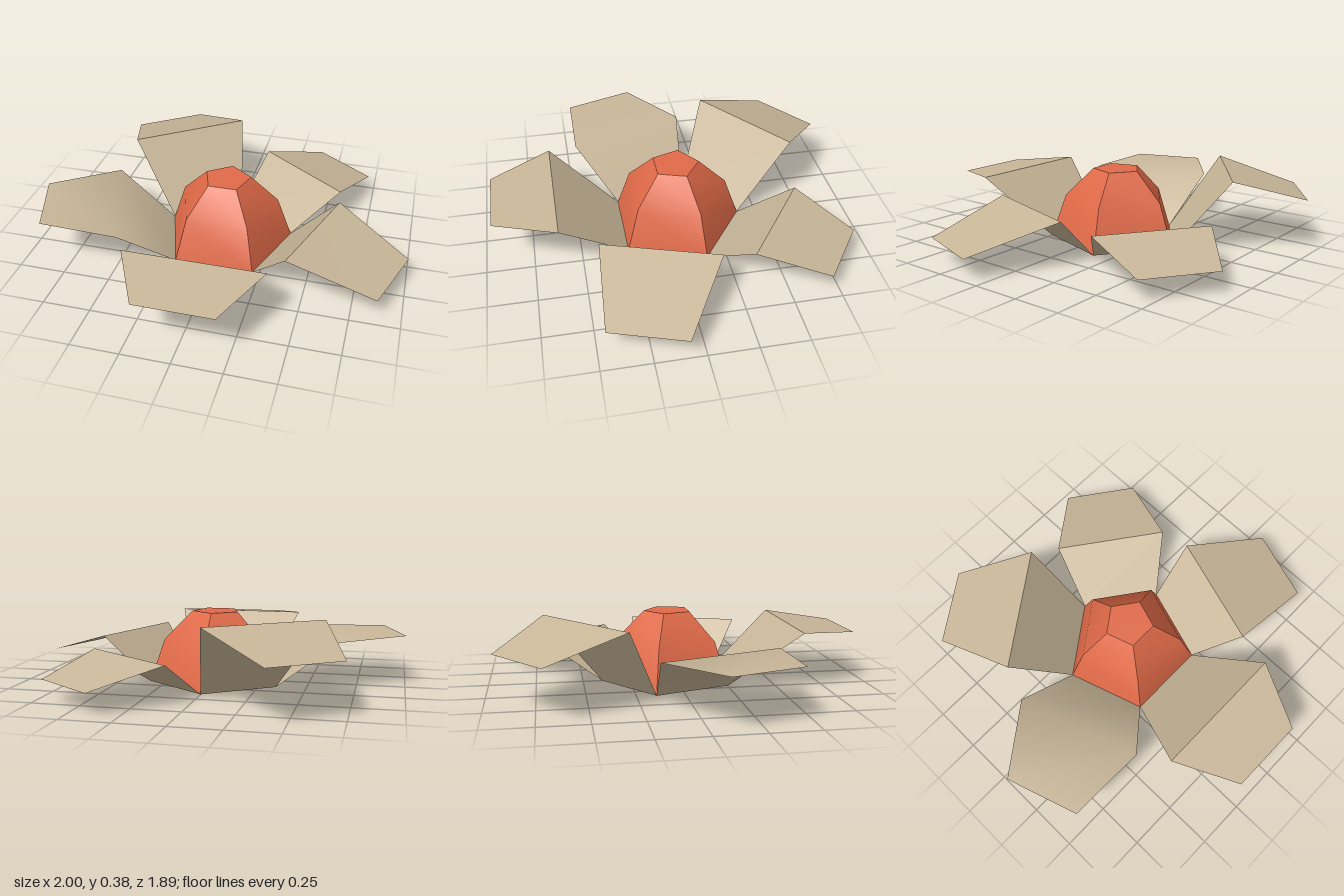
import * as THREE from 'three';
import { toCreasedNormals } from 'three/addons/utils/BufferGeometryUtils.js';

const CREASE = 0.73; // edges sharper than this stay hard
const RADIUS = 0.36; // base pentagon
const CENTRE_Z = -0.037;

// Each petal: fold height, fold ends [x, z], tip height, tip ends [x, z]
const PETALS = [
  { name: 'frontPetal', foldY: 0.30, fold: [[-0.365, 0.615], [0.36, 0.615]], tipY: 0.265, tip: [[-0.2, 0.945], [0.2, 0.945]] },
  { name: 'leftPetal', foldY: 0.24, fold: [[0.41, 0.425], [0.6, -0.165]], tipY: 0.11, tip: [[0.875, 0.455], [1, 0.08]] },
  { name: 'backLeftPetal', foldY: 0.20, fold: [[0.585, -0.335], [0.095, -0.69]], tipY: 0.107, tip: [[0.715, -0.70], [0.395, -0.93]] },
  { name: 'backRightPetal', foldY: 0.385, fold: [[-0.075, -0.70], [-0.61, -0.31]], tipY: 0.262, tip: [[-0.415, -0.95], [-0.74, -0.715]] },
  { name: 'rightPetal', foldY: 0.25, fold: [[-0.665, -0.175], [-0.455, 0.46]], tipY: 0.258, tip: [[-1, 0.08], [-0.878, 0.455]] },
];

// Corner of the base pentagon; corner 0 is front right, going round by the left
function baseCorner(i) {
  const a = (2 * i - 1) * Math.PI / 5;
  return [RADIUS * Math.sin(a), 0, CENTRE_Z + RADIUS * Math.cos(a)];
}

// Sheet of two quads: base edge to fold, fold to tip
function petalGeometry(i, { foldY, fold, tipY, tip }) {
  const points = [
    baseCorner(i), baseCorner(i + 1),
    ...fold.map(([x, z]) => [x, foldY, z]),
    ...tip.map(([x, z]) => [x, tipY, z]),
  ];
  const geometry = new THREE.BufferGeometry();
  geometry.setAttribute('position', new THREE.Float32BufferAttribute(points.flat(), 3));
  geometry.setIndex([0, 2, 1, 1, 2, 3, 2, 4, 3, 3, 4, 5]);
  return toCreasedNormals(geometry, CREASE);
}

export function createModel() {
  const model = new THREE.Group();
  model.name = 'flower';
  const orange = new THREE.MeshStandardMaterial({ name: 'orange', color: 0xe06a48, side: THREE.DoubleSide });
  const beige = new THREE.MeshStandardMaterial({ name: 'beige', color: 0xc8b698, side: THREE.DoubleSide });

  // Five-sided dome, open underneath
  const profile = [[RADIUS, 0], [0.28, 0.23], [0.13, 0.38], [0, 0.38]].map(([r, y]) => new THREE.Vector2(r, y));
  const dome = new THREE.LatheGeometry(profile, 5, Math.PI / 5);
  const core = new THREE.Mesh(toCreasedNormals(dome, CREASE), orange);
  core.name = 'core';
  core.position.z = CENTRE_Z;
  model.add(core);

  // Folded petals, one on each base edge
  PETALS.forEach((petal, i) => {
    const mesh = new THREE.Mesh(petalGeometry(i, petal), beige);
    mesh.name = petal.name;
    model.add(mesh);
  });
  return model;
}
